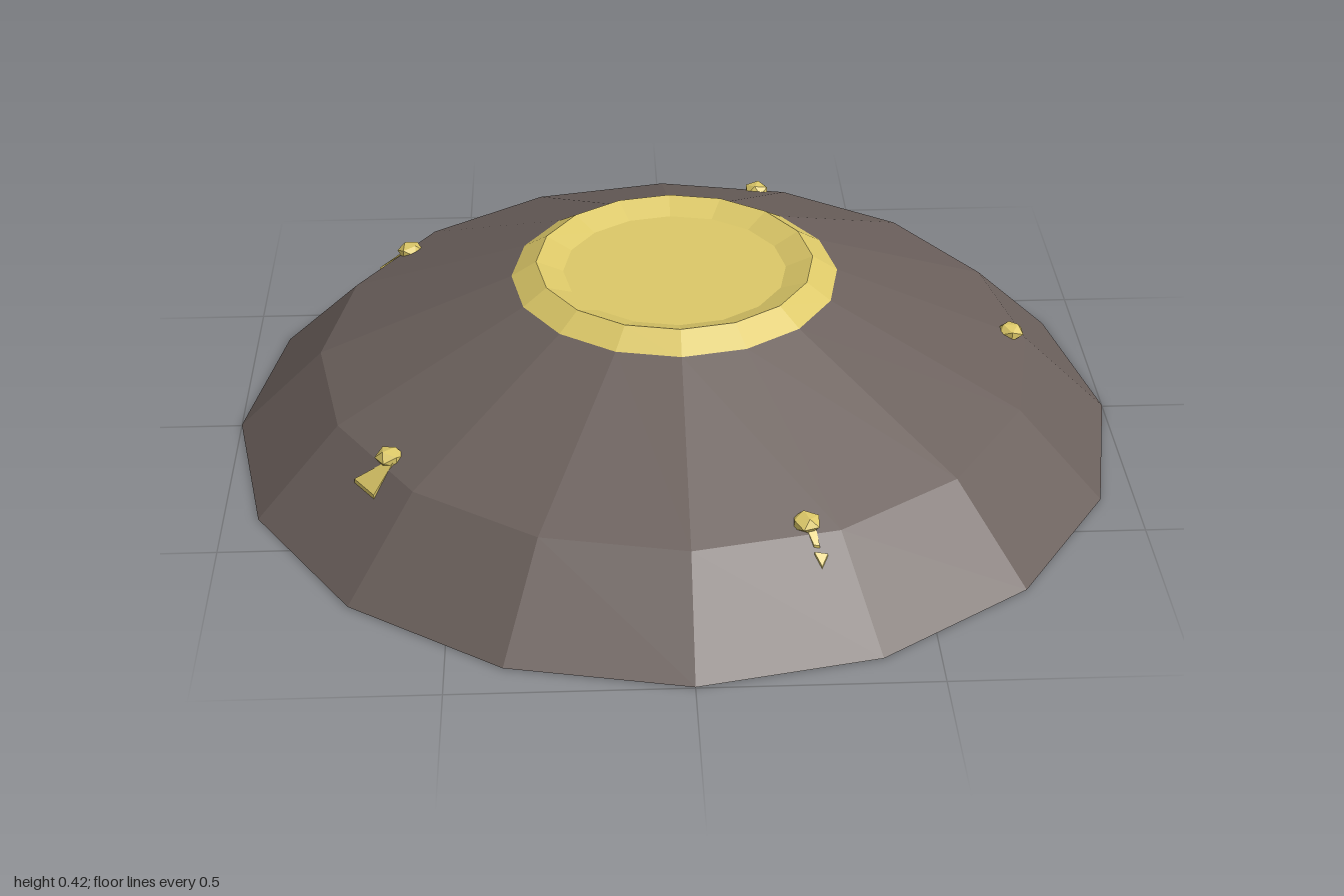
import * as THREE from 'three';
import { ConvexGeometry } from 'three/addons/geometries/ConvexGeometry.js';

const SIDES = 16;
const rock = new THREE.MeshStandardMaterial({ color: 0x6b605c });
rock.name = 'darkRock';
rock.flatShading = true;
const gold = new THREE.MeshStandardMaterial({ color: 0xdcc868 });
gold.name = 'paleGold';
gold.flatShading = true;

function part(name, geometry, material) {
  const mesh = new THREE.Mesh(geometry, material);
  mesh.name = name;
  return mesh;
}

function lathe(profile) {
  return new THREE.LatheGeometry(profile.map(([r, y]) => new THREE.Vector2(r, y)), SIDES);
}

// Height of the faceted slope above a point of the ground
function slopeHeight(x, z) {
  let r = 0;
  for (let i = 0; i < SIDES; i++) {
    const a = ((i + 0.5) / SIDES) * Math.PI * 2;
    r = Math.max(r, (x * Math.sin(a) + z * Math.cos(a)) / Math.cos(Math.PI / SIDES));
  }
  return r > 0.805 ? (0.19 * (1 - r)) / 0.195 : 0.19 + (0.19 * (0.805 - r)) / 0.44;
}

// Thin splinter lying on the slope, given by its corners [x, z]
function splinter(corners, lift) {
  const points = [];
  for (const [x, z] of corners) {
    const y = slopeHeight(x, z);
    points.push(new THREE.Vector3(x, y + lift, z), new THREE.Vector3(x, y - 0.02, z));
  }
  return new ConvexGeometry(points);
}

export function createModel() {
  const group = new THREE.Group();
  group.name = 'rockMound';

  // Stepped slope with flat underside
  group.add(part('mound', lathe([[0, 0], [1, 0], [0.805, 0.19], [0.365, 0.38], [0, 0.38]]), rock));

  // Raised rim around a shallow dish
  group.add(part('dish', lathe([[0.37, 0.377], [0.31, 0.415], [0.25, 0.39], [0, 0.39]]), gold));

  // Five gold nuggets breaking through the slope, with their bases showing underneath
  for (let i = 0; i < 5; i++) {
    const a = (i / 5) * Math.PI * 2;
    const x = 0.77 * Math.cos(a);
    const z = -0.77 * Math.sin(a);
    const nugget = part('nugget', new THREE.IcosahedronGeometry(0.032, 0), gold);
    nugget.scale.y = 0.65;
    nugget.rotation.y = a;
    nugget.position.set(x, slopeHeight(x, z) + 0.003, z);
    group.add(nugget);

    const b = a + 0.225;
    const radius = i === 2 || i === 4 ? 0.08 : 0.145;
    const base = part('nuggetBase', new THREE.CylinderGeometry(radius, radius, 0.004, 6), gold);
    base.position.set(0.75 * Math.cos(b), 0, -0.75 * Math.sin(b));
    base.rotation.y = b;
    group.add(base);
  }

  // Splinters beside four of the nuggets, mirrored front and back
  for (const s of [1, -1]) {
    const wide = [[-0.70, 0.46], [-0.655, 0.525], [-0.605, 0.465]];
    const narrow = [[0.235, 0.745], [0.255, 0.74], [0.262, 0.775], [0.25, 0.775]];
    const tip = [[0.25, 0.785], [0.278, 0.785], [0.265, 0.805]];
    const flip = ([x, z]) => [x, z * s];
    group.add(part('wideSplinter', splinter(wide.map(flip), 0.01), gold));
    group.add(part('narrowSplinter', splinter(narrow.map(flip), 0.006), gold));
    group.add(part('splinterTip', splinter(tip.map(flip), 0.006), gold));
  }
  return group;
}
